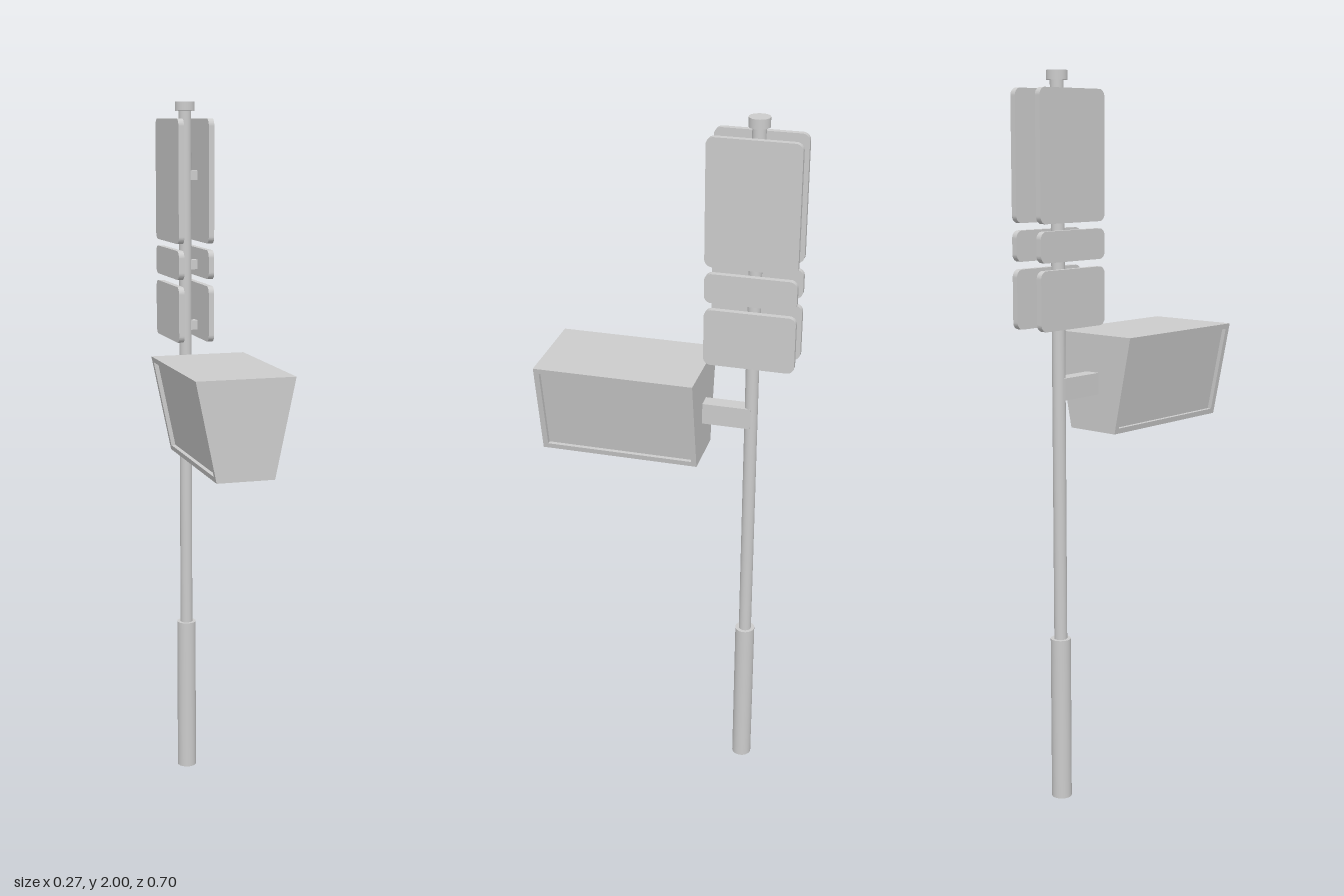
import * as THREE from 'three';

const material = new THREE.MeshStandardMaterial({ color: 0xcccccc });
const POLE_X = 0.002, POLE_Z = -0.229;

function add(parent, name, geometry, x = 0, y = 0, z = 0) {
  const mesh = new THREE.Mesh(geometry, material);
  mesh.name = name;
  mesh.position.set(x, y, z);
  parent.add(mesh);
  return mesh;
}

// Upright cylinder on the pole axis between two heights
function poleSection(parent, name, radius, y0, y1) {
  add(parent, name, new THREE.CylinderGeometry(radius, radius, y1 - y0, 32), POLE_X, (y0 + y1) / 2, POLE_Z);
}

function roundedRect(w, h, r) {
  const s = new THREE.Shape(), x = w / 2, y = h / 2;
  s.absarc(x - r, y - r, r, 0, Math.PI / 2);
  s.absarc(-x + r, y - r, r, Math.PI / 2, Math.PI);
  s.absarc(-x + r, -y + r, r, Math.PI, Math.PI * 1.5);
  s.absarc(x - r, -y + r, r, Math.PI * 1.5, Math.PI * 2);
  s.closePath();
  return s;
}

function rect(PathType, w, h) {
  return new PathType([[-w, -h], [w, -h], [w, h], [-w, h]].map(([x, y]) => new THREE.Vector2(x / 2, y / 2)));
}

// Tapered box with a recessed panel in each sloping side
function createLightbox() {
  const box = new THREE.Group();
  box.name = 'lightbox';
  const h = 0.27, len = 0.444, top = 0.136, bottom = 0.08, depth = 0.012, border = 0.015;
  const halfWidth = (y) => THREE.MathUtils.lerp(bottom, top, y / h + 0.5);

  const b = bottom - depth, t = top - depth;
  const core = new THREE.Shape([[-b, -h], [b, -h], [t, h], [-t, h]].map(([x, y]) => new THREE.Vector2(x, y / 2)));
  const coreGeometry = new THREE.ExtrudeGeometry(core, { depth: len, bevelEnabled: false });
  add(box, 'boxBody', coreGeometry.translate(0, 0, -len / 2));

  for (const side of [1, -1]) {
    const frame = rect(THREE.Shape, len, h);
    frame.holes.push(rect(THREE.Path, len - 2 * border, h - 2 * border));
    const g = new THREE.ExtrudeGeometry(frame, { depth, bevelEnabled: false });
    const p = g.attributes.position;
    // Turn the frame to the side and shear it along the slope
    for (let i = 0; i < p.count; i++) {
      const u = p.getX(i), y = p.getY(i), w = p.getZ(i);
      p.setXYZ(i, side * (halfWidth(y) - depth + w), y, -side * u);
    }
    g.computeVertexNormals();
    add(box, side > 0 ? 'leftFrame' : 'rightFrame', g);
  }
  box.position.set(0, 1.167, 0.126);
  return box;
}

export function createModel() {
  const model = new THREE.Group();
  model.name = 'signPost';

  // Pole
  poleSection(model, 'poleBase', 0.028, 0, 0.465);
  poleSection(model, 'poleShaft', 0.018, 0.46, 1.98);
  poleSection(model, 'poleCap', 0.028, 1.975, 2);

  // Lightbox and its arm
  model.add(createLightbox());
  add(model, 'arm', new THREE.BoxGeometry(0.043, 0.06, 0.135), -0.001, 1.167, -0.1625);

  // Pairs of sign plates, each on a cross bracket
  const thickness = 0.016;
  const signs = [
    { name: 'largeSign', y0: 1.611, y1: 1.954, bracket: 1.797 },
    { name: 'narrowSign', y0: 1.511, y1: 1.592, bracket: 1.544 },
    { name: 'lowerSign', y0: 1.333, y1: 1.491, bracket: 1.369 },
  ];
  for (const { name, y0, y1, bracket } of signs) {
    add(model, name + 'Bracket', new THREE.BoxGeometry(0.074, 0.027, 0.027), -0.001, bracket, -0.23);
    const plate = new THREE.ExtrudeGeometry(roundedRect(0.246, y1 - y0, 0.02),
      { depth: thickness, bevelEnabled: false, curveSegments: 8 });
    plate.translate(0, 0, -thickness / 2).rotateY(Math.PI / 2);
    for (const side of [1, -1]) {
      add(model, name + (side > 0 ? 'Left' : 'Right'), plate, side * 0.0435 - 0.0005, (y0 + y1) / 2, -0.227);
    }
  }
  return model;
}
